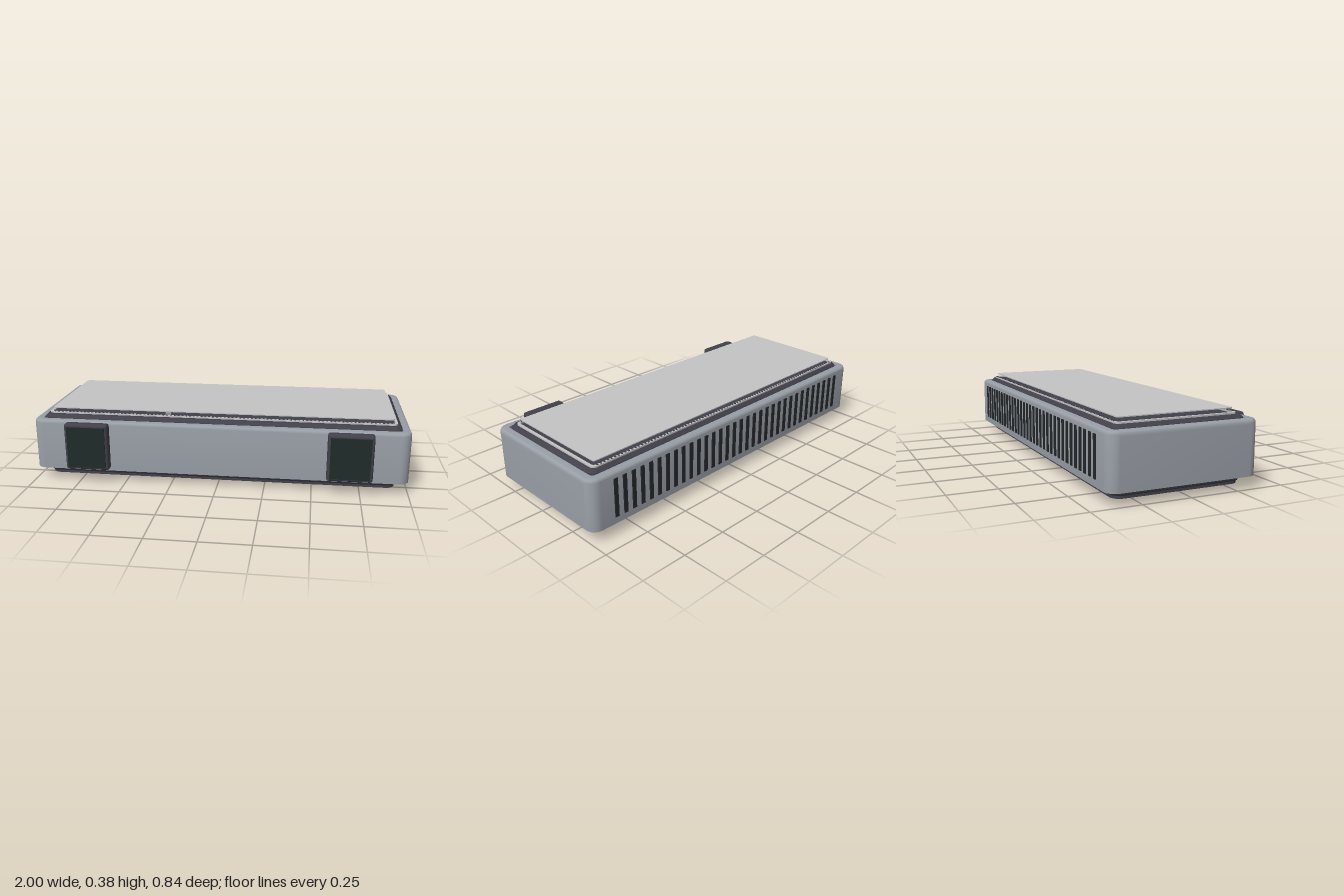
import * as THREE from 'three';
import { toCreasedNormals } from 'three/addons/utils/BufferGeometryUtils.js';
import { RoundedBoxGeometry } from 'three/addons/geometries/RoundedBoxGeometry.js';

const CORNER_STEPS = 8;
const ZC = -0.025; // centre line of the case in z

// Rounded rectangle ring at height y, counterclockwise from above
function ring([y, hx, hz, r]) {
  const pts = [];
  for (let q = 0; q < 4; q++) {
    const sx = q === 0 || q === 3 ? 1 : -1;
    const sz = q < 2 ? -1 : 1;
    for (let s = 0; s <= CORNER_STEPS; s++) {
      const a = (q + s / CORNER_STEPS) * Math.PI / 2;
      pts.push([sx * (hx - r) + r * Math.cos(a), y, sz * (hz - r) - r * Math.sin(a)]);
    }
  }
  return pts;
}

// Skin through successive rings: outside upwards, then inwards
function loft(levels) {
  const rings = levels.map(ring);
  const n = rings[0].length;
  const pos = [];
  for (let i = 0; i < rings.length - 1; i++) {
    for (let j = 0; j < n; j++) {
      const k = (j + 1) % n;
      const a = rings[i][j], b = rings[i][k], c = rings[i + 1][k], d = rings[i + 1][j];
      pos.push(...a, ...b, ...c, ...a, ...c, ...d);
    }
  }
  const g = new THREE.BufferGeometry();
  g.setAttribute('position', new THREE.Float32BufferAttribute(pos, 3));
  return toCreasedNormals(g, 0.5);
}

// Closed slab from y0 to y1 with an optional chamfer on top
function slab(y0, y1, hx, hz, r, chamfer = 0) {
  return loft([
    [y0, 0, 0, 0], [y0, hx, hz, r], [y1 - chamfer, hx, hz, r],
    [y1, hx - chamfer, hz - chamfer, r - chamfer], [y1, 0, 0, 0],
  ]);
}

// Rectangular frame with an opening
function frame(y0, y1, hx, hz, r, t, ri) {
  const inner = [hx - t, hz - t, ri];
  return loft([
    [y0, ...inner], [y0, hx, hz, r], [y1, hx, hz, r], [y1, ...inner], [y0, ...inner],
  ]);
}

export function createModel() {
  const model = new THREE.Group();
  const mat = (name, color) => {
    const m = new THREE.MeshStandardMaterial({ color });
    m.name = name;
    return m;
  };
  const shell = mat('greyShell', 0x989ea6);
  const trim = mat('darkTrim', 0x42414b);
  const glass = mat('darkGlass', 0x1f2c2b);
  const slot = mat('slotBlack', 0x25282a);
  const panel = mat('lightPanel', 0xc4c4c4);
  const metal = mat('metal', 0x9a9a9a);

  const add = (name, geo, material, x = 0, y = 0, z = 0, parent = model) => {
    const m = new THREE.Mesh(geo, material);
    m.name = name;
    m.position.set(x, y, z);
    parent.add(m);
    return m;
  };
  const group = (name) => {
    const g = new THREE.Group();
    g.name = name;
    model.add(g);
    return g;
  };

  // Hollow case with a softened upper edge
  const outer = [];
  for (let i = 0; i <= 5; i++) {
    const a = i / 5 * Math.PI / 2, inset = 0.014 * (1 - Math.cos(a));
    outer.push([0.311 + 0.024 * Math.sin(a), 1 - inset, 0.39 - inset, 0.055 - inset]);
  }
  add('case', loft([
    [0.063, 0.956, 0.346, 0.02], [0.063, 1, 0.39, 0.055], ...outer,
    [0.335, 0.956, 0.346, 0.02], [0.063, 0.956, 0.346, 0.02],
  ]), shell, 0, 0, ZC);

  // Dark core whose chamfered top forms the bezel
  add('bezelCore', slab(0.066, 0.353, 0.955, 0.345, 0.045, 0.016), trim, 0, 0, ZC);

  // Raised rim, hidden components and floating display panel
  const zTop = -0.0325;
  add('displayRim', frame(0.352, 0.361, 0.932, 0.317, 0.025, 0.014, 0.015), panel, 0, 0, zTop);
  add('displayPanel', slab(0.377, 0.382, 0.914, 0.302, 0.015), panel, 0, 0, zTop);
  const pins = group('rimPins');
  const pinGeo = new THREE.BoxGeometry(0.009, 0.006, 0.008);
  for (let i = 0; i < 88; i++) {
    for (const z of [0.277, -0.342]) add('rimPin', pinGeo, trim, (i - 43.5) * 0.0207, 0.36, z, pins);
  }
  const chips = group('components');
  for (const [x, z, w, d] of [[-0.41, 0, 0.22, 0.24], [-0.135, -0.15, 0.23, 0.2],
    [0.17, 0.03, 0.2, 0.18], [0.605, -0.2, 0.09, 0.15], [0.72, 0.14, 0.08, 0.03], [-0.28, 0.24, 0.03, 0.02]]) {
    add('component', new THREE.BoxGeometry(w, 0.012, d), metal, x, 0.359, z, chips);
  }

  // Front pads with dark glass faces
  for (const s of [-1, 1]) {
    add('frontPad', new RoundedBoxGeometry(0.236, 0.254, 0.052, 4, 0.015), trim, s * 0.692, 0.208, 0.391);
    add('padGlass', new THREE.BoxGeometry(0.206, 0.222, 0.008), glass, s * 0.692, 0.207, 0.417);
  }

  // Row of vent slots on the back
  const vents = group('backVents');
  const ventGeo = new THREE.BoxGeometry(0.022, 0.205, 0.008);
  for (let i = 0; i < 33; i++) add('ventSlot', ventGeo, slot, (i - 16) * 0.0537, 0.2025, -0.416, vents);

  // Cooling fins between case and base plate
  const fins = group('coolingFins');
  const finGeo = new THREE.BoxGeometry(0.01, 0.034, 0.665);
  for (let i = 0; i < 38; i++) add('fin', finGeo, trim, (i - 18.5) * 0.0457, 0.05, ZC, fins);

  // Base plate with a thin lip
  add('basePlate', slab(0.017, 0.034, 0.935, 0.333, 0.05), trim, 0, 0, ZC);
  add('baseLip', slab(0.033, 0.037, 0.944, 0.339, 0.055), slot, 0, 0, ZC);

  // Port and screws on the underside
  add('portRing', frame(0, 0.018, 0.07, 0.025, 0.025, 0.008, 0.017), metal, 0, 0, 0.2);
  add('portCore', slab(0.008, 0.018, 0.063, 0.018, 0.018), slot, 0, 0, 0.2);
  const screwGeo = new THREE.CylinderGeometry(0.015, 0.013, 0.009, 20);
  const socketGeo = new THREE.CylinderGeometry(0.007, 0.007, 0.002, 6);
  for (const x of [-0.825, 0.825]) {
    for (const z of [0.24, -0.29]) {
      add('screw', screwGeo, metal, x, 0.0135, z);
      add('screwSocket', socketGeo, slot, x, 0.0085, z);
    }
  }
  return model;
}
